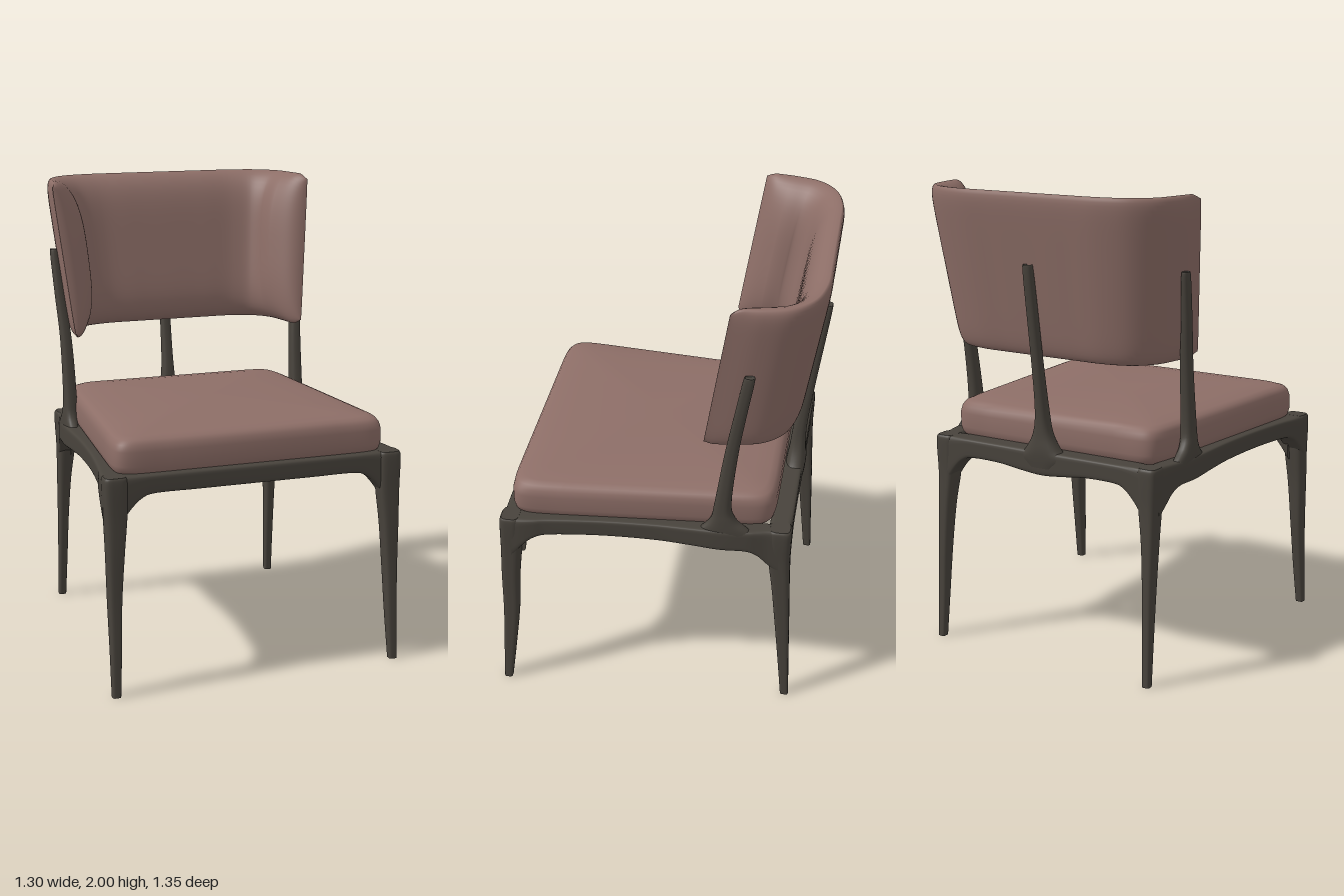
import * as THREE from 'three';

const wood = new THREE.MeshStandardMaterial({ color: 0x48433c });
wood.name = 'dark wood';
const fabric = new THREE.MeshStandardMaterial({ color: 0x8d6e67 });
fabric.name = 'rose upholstery';

const V = (x, y, z) => new THREE.Vector3(x, y, z);
const spow = (v, p) => Math.sign(v) * Math.abs(v) ** p;

// Smooth skin over closed rings of points, with flat end caps
function loft(name, rings, material) {
  const n = rings[0].length, pos = [], index = [];
  rings.forEach(r => r.forEach(p => pos.push(p.x, p.y, p.z)));
  for (let i = 0; i < rings.length - 1; i++) {
    for (let j = 0; j < n; j++) {
      const a = i * n + j, b = i * n + (j + 1) % n;
      index.push(a, b, b + n, a, b + n, a + n);
    }
  }
  [rings[0], rings[rings.length - 1]].forEach((r, end) => {
    const c = pos.length / 3;
    const mid = r.reduce((s, p) => s.add(p), V(0, 0, 0)).divideScalar(n);
    [mid, ...r].forEach(p => pos.push(p.x, p.y, p.z));
    for (let j = 0; j < n; j++) {
      const a = c + 1 + j, b = c + 1 + (j + 1) % n;
      if (end) index.push(c, a, b); else index.push(c, b, a);
    }
  });
  const g = new THREE.BufferGeometry();
  g.setAttribute('position', new THREE.Float32BufferAttribute(pos, 3));
  g.setIndex(index);
  g.computeVertexNormals();
  const m = new THREE.Mesh(g, material);
  m.name = name;
  return m;
}

// Rounded-square bar along an axis (0 x, 1 y, 2 z); stations: x, y, z, half sizes x, y, z
function bar(name, axis, stations, power = 0.55) {
  const centres = new THREE.CatmullRomCurve3(stations.map(s => V(s[0], s[1], s[2])), false, 'catmullrom');
  const sizes = new THREE.CatmullRomCurve3(stations.map(s => V(s[3], s[4], s[5])), false, 'catmullrom');
  const steps = (stations.length - 1) * 5, u = (axis + 1) % 3, v = (axis + 2) % 3, rings = [];
  for (let i = 0; i <= steps; i++) {
    const c = centres.getPoint(i / steps), h = sizes.getPoint(i / steps), ring = [];
    for (let j = 0; j < 24; j++) {
      const a = (j + 0.5) / 24 * Math.PI * 2, p = c.clone();
      p.setComponent(u, c.getComponent(u) + h.getComponent(u) * spow(Math.cos(a), power));
      p.setComponent(v, c.getComponent(v) + h.getComponent(v) * spow(Math.sin(a), power));
      ring.push(p);
    }
    rings.push(ring);
  }
  return loft(name, rings, wood);
}

// Rail station with a flat top at 0.92 and a given underside height
const TOP = 0.92;
const rail = (x, z, bottom, hx, hz) => [x, (TOP + bottom) / 2, z, hx, (TOP - bottom) / 2, hz];

// Rail across the chair, mirrored from its right half (x, underside)
function crossRail(name, z, hz, half) {
  const left = half.map(([x, b]) => rail(-x, z, b, 0, hz)).reverse();
  return bar(name, 0, [...left, ...half.slice(1).map(([x, b]) => rail(x, z, b, 0, hz))], 0.3);
}

// Tapered cushion with a domed top and a gently rounded underside
function seatCushion() {
  const layers = [[0.02, 0.885], [0.5, 0.888], [0.85, 0.897], [0.97, 0.908], [0.99, 0.925], [1, 0.95], [1, 1.01],
    [0.988, 1.038], [0.965, 1.055], [0.92, 1.065], [0.8, 1.074], [0.6, 1.082], [0.3, 1.088], [0.02, 1.09]];
  return loft('seatCushion', layers.map(([s, y]) => {
    const ring = [];
    for (let j = 0; j < 96; j++) {
      const a = (j + 0.5) / 96 * Math.PI * 2;
      const b = s * spow(Math.cos(a), 0.14), w = s * spow(Math.sin(a), 0.14);
      ring.push(V(w * (0.556 + 0.047 * b), y, 0.055 + 0.557 * b));
    }
    return ring;
  }), fabric);
}

// Padded back wrapping round into two fuller wings, leaning back and widening upward
function backrest() {
  const half = [[0.18, -0.678], [0.35, -0.673], [0.48, -0.635], [0.565, -0.555], [0.6, -0.44], [0.606, -0.31]];
  const path = new THREE.CatmullRomCurve3([
    ...half.map(([x, z]) => V(-x, 0, z)).reverse(), V(0, 0, -0.678), ...half.map(([x, z]) => V(x, 0, z))]);
  const length = path.getLength(), rings = [], N = 90, M = 56;
  for (let i = 0; i <= N; i++) {
    const u = (1 - Math.cos(i / N * Math.PI)) / 2;
    const p = path.getPointAt(u), t = path.getTangentAt(u);
    const e = Math.min(u, 1 - u) * length;
    const k = Math.max(0, 1 - e / 0.17);
    const wing = 1 - THREE.MathUtils.smoothstep(e, 0.15, 0.45);
    const thick = 0.012 + (0.106 + 0.03 * wing) * Math.sqrt(1 - k * k);
    const h = 0.34 * (1 - 0.06 * Math.max(0, 1 - e / 0.05) ** 2);
    const ring = [];
    for (let j = 0; j < M; j++) {
      const a = j / M * Math.PI * 2, s = Math.cos(a);
      const d = Math.sin(a) >= 0
        ? thick * (0.2 + 0.8 * Math.sqrt(Math.max(0, 1 - Math.abs(s) ** (5 - 2 * wing))))
        : thick * 0.2 * (1 - Math.sqrt(Math.max(0, 1 - s ** 10)));
      const y = 1.66 + h * s, f = (y - 1.32) / 0.68;
      ring.push(V((p.x - t.z * d) * (0.885 + 0.115 * f), y, p.z + t.x * d + 0.11 * (1 - f)));
    }
    rings.push(ring);
  }
  return loft('backrest', rings, fabric);
}

export function createModel() {
  const chair = new THREE.Group();
  chair.name = 'chair';
  chair.add(seatCushion(), backrest());

  // Legs, side rails and side uprights, one set per side
  for (const [side, m] of [['left', 1], ['right', -1]]) {
    const flip = list => list.map(([x, ...rest]) => [x * m, ...rest]);
    chair.add(
      bar(side + 'FrontLeg', 1, flip([
        [0.622, 0, 0.662, 0.018, 0, 0.018], [0.617, 0.2, 0.644, 0.023, 0, 0.027],
        [0.614, 0.4, 0.627, 0.028, 0, 0.034], [0.608, 0.6, 0.62, 0.037, 0, 0.038],
        [0.602, 0.75, 0.61, 0.046, 0, 0.043], [0.602, 0.85, 0.606, 0.05, 0, 0.045],
        [0.602, 0.905, 0.604, 0.05, 0, 0.044], [0.602, 0.92, 0.604, 0.044, 0, 0.038]])),
      bar(side + 'BackLeg', 1, flip([
        [0.532, 0, -0.583, 0.017, 0, 0.018], [0.528, 0.2, -0.57, 0.02, 0, 0.024],
        [0.525, 0.4, -0.557, 0.023, 0, 0.031], [0.52, 0.6, -0.543, 0.03, 0, 0.038],
        [0.512, 0.75, -0.531, 0.04, 0, 0.046], [0.512, 0.85, -0.53, 0.045, 0, 0.049],
        [0.512, 0.905, -0.53, 0.045, 0, 0.049], [0.512, 0.92, -0.53, 0.038, 0, 0.042]])),
      bar(side + 'SideRail', 2, flip([
        rail(0.515, -0.53, 0.7, 0.038, 0), rail(0.52, -0.48, 0.745, 0.038, 0), rail(0.527, -0.44, 0.79, 0.039, 0),
        rail(0.536, -0.39, 0.816, 0.04, 0), rail(0.547, -0.28, 0.82, 0.039, 0), rail(0.55, -0.15, 0.83, 0.036, 0),
        rail(0.552, 0, 0.838, 0.034, 0), rail(0.565, 0.22, 0.842, 0.034, 0), rail(0.588, 0.43, 0.84, 0.037, 0),
        rail(0.598, 0.5, 0.826, 0.042, 0), rail(0.603, 0.55, 0.785, 0.045, 0), rail(0.605, 0.6, 0.72, 0.046, 0),
      ]), 0.3),
      bar(side + 'Upright', 1, flip([
        [0.552, 0.895, -0.3, 0.029, 0, 0.13], [0.552, 0.925, -0.3, 0.03, 0, 0.095],
        [0.551, 0.97, -0.292, 0.03, 0, 0.052], [0.548, 1.05, -0.29, 0.029, 0, 0.035],
        [0.553, 1.3, -0.32, 0.025, 0, 0.028], [0.57, 1.5, -0.353, 0.02, 0, 0.025],
        [0.583, 1.68, -0.385, 0.016, 0, 0.023], [0.584, 1.695, -0.387, 0.01, 0, 0.015]]), 0.8));
  }

  // Front and back rails, dipping into the legs, and the rear upright
  chair.add(
    crossRail('frontRail', 0.594, 0.044,
      [[0, 0.84], [0.25, 0.84], [0.43, 0.84], [0.49, 0.825], [0.54, 0.78], [0.59, 0.71]]),
    crossRail('backRail', -0.528, 0.048,
      [[0, 0.815], [0.1, 0.823], [0.22, 0.837], [0.36, 0.837], [0.41, 0.82], [0.455, 0.775], [0.5, 0.71]]),
    bar('centreUpright', 1, [
      [0, 0.85, -0.537, 0.09, 0, 0.042], [0, 0.89, -0.54, 0.12, 0, 0.044],
      [0, 0.93, -0.544, 0.08, 0, 0.042], [0, 1.0, -0.547, 0.042, 0, 0.034],
      [0, 1.1, -0.554, 0.028, 0, 0.029], [0, 1.3, -0.583, 0.024, 0, 0.023],
      [0, 1.68, -0.64, 0.022, 0, 0.019], [0, 1.695, -0.642, 0.014, 0, 0.012]], 0.8));
  return chair;
}
